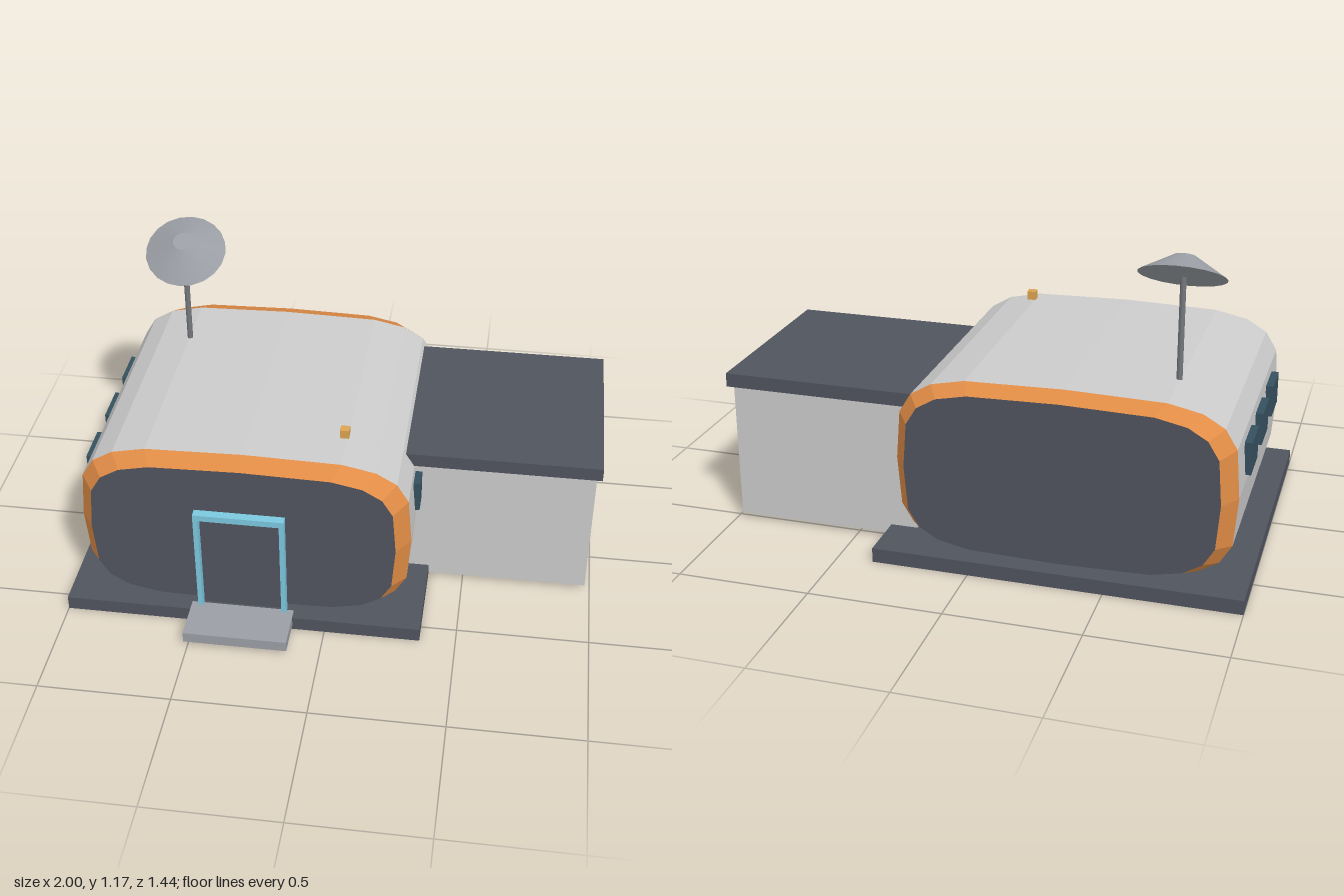
import * as THREE from 'three';

const mat = (color) => new THREE.MeshStandardMaterial({ color, flatShading: true });
const CX = -0.317, CY = 0.366, SEG = 20;

// Rounded-rectangle (superellipse) outline of the hull, scaled about its centre
function outline(scale) {
  const pow = (v, p) => Math.sign(v) * Math.abs(v) ** p;
  return Array.from({ length: SEG }, (_, i) => {
    const a = (i / SEG) * Math.PI * 2;
    return new THREE.Vector2(
      CX + 0.628 * scale * pow(Math.cos(a), 0.46),
      CY + 0.337 * scale * pow(Math.sin(a), 0.52));
  });
}

// Skin between two outlines, from the back section to the front one
function band(zBack, scaleBack, zFront, scaleFront) {
  const b = outline(scaleBack), f = outline(scaleFront), pos = [];
  for (let i = 0; i < SEG; i++) {
    const j = (i + 1) % SEG;
    const B0 = [b[i].x, b[i].y, zBack], B1 = [b[j].x, b[j].y, zBack];
    const F0 = [f[i].x, f[i].y, zFront], F1 = [f[j].x, f[j].y, zFront];
    pos.push(...F0, ...B0, ...B1, ...F0, ...B1, ...F1);
  }
  const g = new THREE.BufferGeometry();
  g.setAttribute('position', new THREE.Float32BufferAttribute(pos, 3));
  g.computeVertexNormals();
  return g;
}

export function createModel() {
  const model = new THREE.Group();
  model.name = 'outpost';
  const wall = mat(0xcccccc), dark = mat(0x50545e), orange = mat(0xe08c46);
  const blue = mat(0x7cc8df), glass = mat(0x36505e), metal = mat(0x9a9ea4);
  const pole = mat(0x74777c), amber = mat(0xdca452);

  const add = (name, geometry, material) => {
    const mesh = new THREE.Mesh(geometry, material);
    mesh.name = name;
    model.add(mesh);
    return mesh;
  };
  // Box given by its extents on each axis
  const box = (name, material, [x0, x1], [y0, y1], [z0, z1]) =>
    add(name, new THREE.BoxGeometry(x1 - x0, y1 - y0, z1 - z0), material)
      .position.set((x0 + x1) / 2, (y0 + y1) / 2, (z0 + z1) / 2);

  box('foundation', dark, [-1, 0.364], [0, 0.055], [-0.72, 0.576]);

  // Hull with a bevelled rim and flat panel at each end
  add('hull', band(-0.575, 1, 0.432, 1), wall);
  add('frontRim', band(0.432, 1, 0.505, 0.918), orange);
  add('backRim', band(-0.648, 0.918, -0.575, 1), orange);
  const cap = new THREE.ShapeGeometry(new THREE.Shape(outline(0.918)));
  add('frontPanel', cap, dark).position.z = 0.505;
  const back = add('backPanel', cap, dark);
  back.rotation.y = Math.PI;
  back.position.set(2 * CX, 0, -0.648);

  // Doorway and step
  box('door', dark, [-0.475, -0.16], [0.055, 0.468], [0.5, 0.525]);
  box('leftDoorPost', blue, [-0.167, -0.149], [0.055, 0.478], [0.523, 0.557]);
  box('rightDoorPost', blue, [-0.489, -0.471], [0.055, 0.478], [0.523, 0.557]);
  box('lintel', blue, [-0.489, -0.149], [0.476, 0.501], [0.523, 0.557]);
  box('doorStep', metal, [-0.515, -0.122], [0.02, 0.062], [0.54, 0.72]);

  // Side annex with a flat roof
  box('annex', wall, [0.26, 0.98], [0.02, 0.555], [-0.52, 0.2]);
  box('annexRoof', dark, [0.26, 1], [0.552, 0.605], [-0.54, 0.215]);

  // Windows: three on the right wall, one ahead of the annex
  for (const z of [-0.35, -0.08, 0.195])
    box('rightWindow', glass, [-0.963, -0.935], [0.393, 0.517], [z - 0.08, z + 0.08]);
  box('leftWindow', glass, [0.3, 0.326], [0.393, 0.517], [0.115, 0.28]);

  // Antenna: mast and tilted dish
  add('mast', new THREE.CylinderGeometry(0.011, 0.011, 0.42, 10), pole)
    .position.set(-0.68, 0.885, -0.342);
  const dishMat = new THREE.MeshStandardMaterial({ color: 0x9a9ea4 });
  const dish = add('dish', new THREE.CylinderGeometry(0.038, 0.159, 0.073, 20), dishMat);
  dish.position.set(-0.68, 1.115, -0.342);
  dish.rotation.x = Math.PI / 6;

  box('beacon', amber, [0.025, 0.059], [0.721, 0.755], [0.272, 0.306]);
  return model;
}
